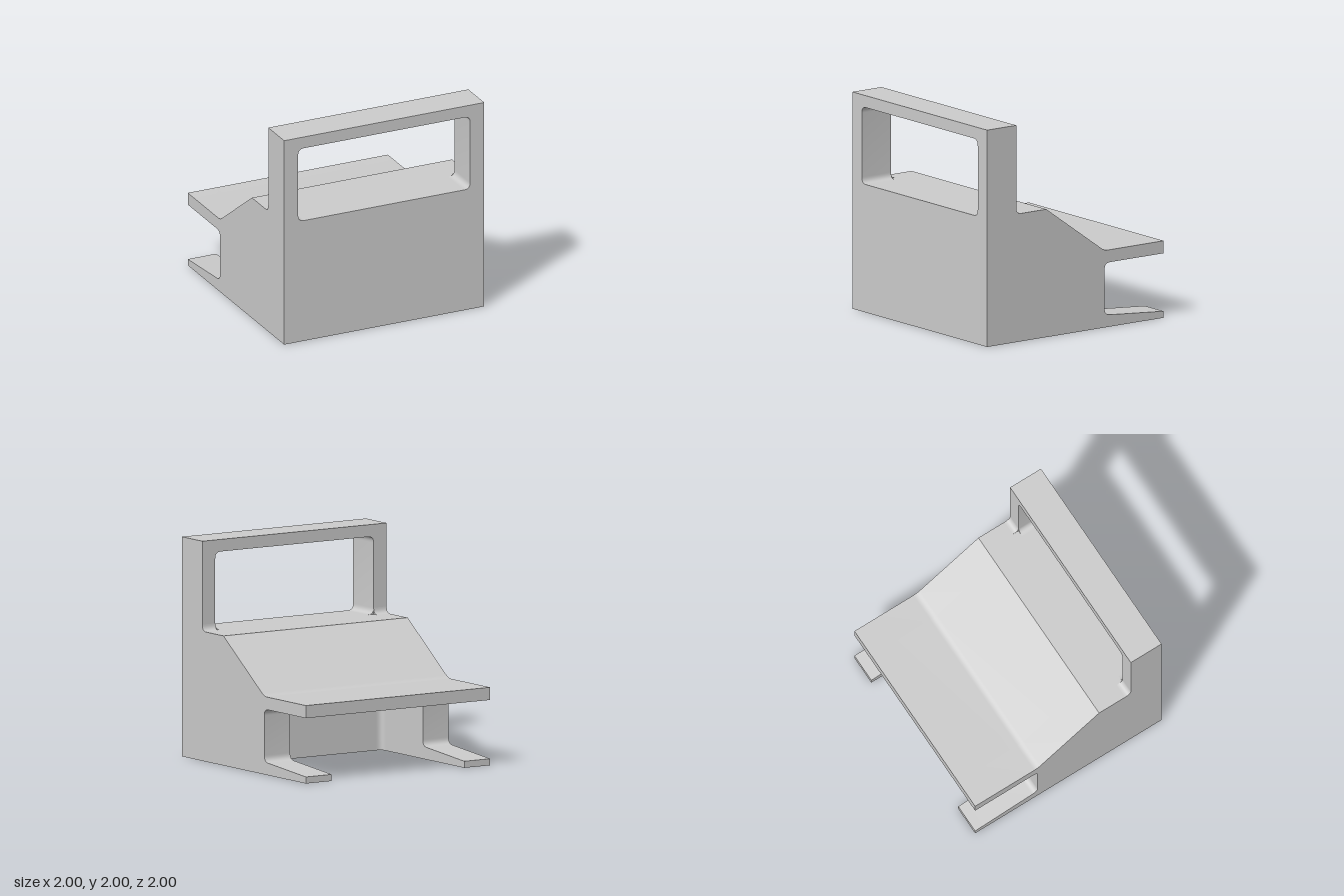
import * as THREE from 'three';
import { toCreasedNormals } from 'three/addons/utils/BufferGeometryUtils.js';

const R = 0.06; // fillet radius

export function createModel() {
  const model = new THREE.Group();
  const material = new THREE.MeshStandardMaterial({ color: 0xcccccc });

  // Closed outline; a point with a third value is rounded by that radius.
  function outline(points) {
    const shape = new THREE.Shape();
    const n = points.length;
    points.forEach(([x, y, r = 0], i) => {
      const p = new THREE.Vector2(x, y);
      const toward = (q) => new THREE.Vector2(q[0], q[1]).sub(p).setLength(r).add(p);
      const a = r ? toward(points[(i + n - 1) % n]) : p;
      if (i === 0) shape.moveTo(a.x, a.y);
      else shape.lineTo(a.x, a.y);
      if (r) {
        const b = toward(points[(i + 1) % n]);
        shape.quadraticCurveTo(x, y, b.x, b.y);
      }
    });
    shape.closePath();
    return shape;
  }

  function extrude(shape, depth) {
    const geometry = new THREE.ExtrudeGeometry(shape, { depth, bevelEnabled: false, curveSegments: 8 });
    return toCreasedNormals(geometry, 0.5);
  }

  function add(name, geometry) {
    const mesh = new THREE.Mesh(geometry, material);
    mesh.name = name;
    model.add(mesh);
  }

  // Profile of [z, y] points swept from x0 to x1.
  function sweepX(name, points, x0, x1) {
    const geometry = extrude(outline(points.map(([z, y, r]) => [-z, y, r])), x1 - x0);
    add(name, geometry.rotateY(Math.PI / 2).translate(x0, 0, 0));
  }

  // Shared upper contour: ledge, slope and rear shelf.
  const upper = [[1, 1.18], [0.33, 1.18], [-0.33, 0.71, 0.04], [-1, 0.71], [-1, 0.595]];

  // Middle body with a hollow under the shelf
  sweepX('body', [[1, 0], ...upper, [0.33, 0.595], [0.33, 0]], -0.72, 0.72);

  for (const side of [-1, 1]) {
    const label = side > 0 ? 'left' : 'right';
    const span = (a, b) => (side > 0 ? [a, b] : [-b, -a]);

    // Side wall with its tapered foot reaching backwards
    sweepX(label + 'SideWall', [
      [1, 0], ...upper, [-0.33, 0.595, R], [-0.33, 0.115, R], [-1, 0.06], [-1, 0],
    ], ...span(0.72, 1));

    // Fillet where the window post meets the ledge
    const fillet = new THREE.Shape();
    fillet.moveTo(-0.67, 1.18);
    fillet.lineTo(-0.67 + R, 1.18);
    fillet.quadraticCurveTo(-0.67, 1.18, -0.67, 1.18 + R);
    fillet.closePath();
    add(label + 'PostFillet', extrude(fillet, 0.14)
      .rotateY(Math.PI / 2).translate(span(0.86, 1)[0], 0, 0));

    // Upright fillet in the corner of the hollow
    const corner = new THREE.Shape();
    corner.moveTo(side * 0.72, -0.33);
    corner.lineTo(side * (0.72 - R), -0.33);
    corner.quadraticCurveTo(side * 0.72, -0.33, side * 0.72, -0.33 + R);
    corner.closePath();
    add(label + 'HollowFillet', extrude(corner, 0.595).rotateX(-Math.PI / 2));
  }

  // Window frame: two posts and a top bar with rounded inner corners
  const frame = new THREE.Shape();
  frame.moveTo(-1, 1.18);
  frame.lineTo(-0.86 + R, 1.18);
  frame.quadraticCurveTo(-0.86, 1.18, -0.86, 1.18 + R);
  frame.lineTo(-0.86, 1.89 - R);
  frame.quadraticCurveTo(-0.86, 1.89, -0.86 + R, 1.89);
  frame.lineTo(0.86 - R, 1.89);
  frame.quadraticCurveTo(0.86, 1.89, 0.86, 1.89 - R);
  frame.lineTo(0.86, 1.18 + R);
  frame.quadraticCurveTo(0.86, 1.18, 0.86 - R, 1.18);
  frame.lineTo(1, 1.18);
  frame.lineTo(1, 2);
  frame.lineTo(-1, 2);
  frame.closePath();
  add('windowFrame', extrude(frame, 0.33).translate(0, 0, 0.67));

  return model;
}
